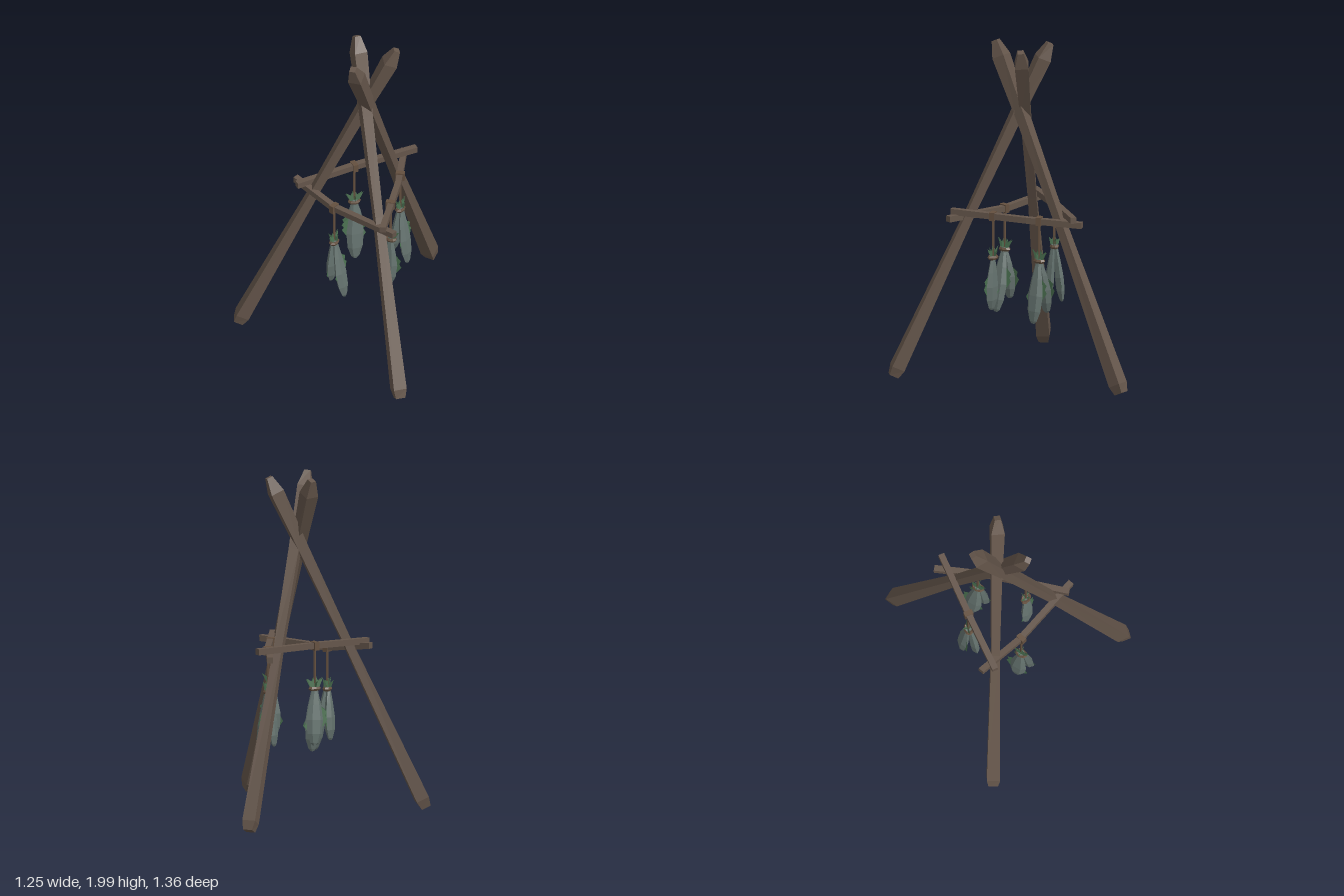
import * as THREE from 'three';

const wood = new THREE.MeshStandardMaterial({ color: 0x64554a });
wood.name = 'weathered wood';
const cord = new THREE.MeshStandardMaterial({ color: 0x64503f });
cord.name = 'cord brown';
const skin = new THREE.MeshStandardMaterial({ color: 0x65736f });
skin.name = 'grey green skin';
const finGreen = new THREE.MeshStandardMaterial({ color: 0x4a7050, side: THREE.DoubleSide });
finGreen.name = 'fin green';

const V = (x, y, z) => new THREE.Vector3(x, y, z);

function add(parent, name, geometry, material) {
  const flat = geometry.index ? geometry.toNonIndexed() : geometry;
  flat.computeVertexNormals();
  const mesh = new THREE.Mesh(flat, material);
  mesh.name = name;
  parent.add(mesh);
  return mesh;
}

// Faceted skin over a series of rings, closed at both ends
function loft(rings) {
  const out = [];
  const tri = (...pts) => pts.forEach((p) => out.push(p.x, p.y, p.z));
  const n = rings[0].length;
  for (let i = 0; i < rings.length - 1; i++) {
    for (let j = 0; j < n; j++) {
      const k = (j + 1) % n;
      const a = rings[i][j], b = rings[i][k], c = rings[i + 1][k], d = rings[i + 1][j];
      tri(a, b, c);
      tri(a, c, d);
    }
  }
  const first = rings[0], last = rings[rings.length - 1];
  for (let j = 1; j < n - 1; j++) {
    tri(first[0], first[j + 1], first[j]);
    tri(last[0], last[j], last[j + 1]);
  }
  const g = new THREE.BufferGeometry();
  g.setAttribute('position', new THREE.Float32BufferAttribute(out, 3));
  return g;
}

function ring(center, u, v, ru, rv, sides, phase) {
  return Array.from({ length: sides }, (_, j) => {
    const a = phase + (j / sides) * Math.PI * 2;
    return center.clone().addScaledVector(u, Math.cos(a) * ru).addScaledVector(v, Math.sin(a) * rv);
  });
}

// Square timber along a path; stations are [position, half width]
function timber(stations, twist = 0) {
  const dir = stations[stations.length - 1][0].clone().sub(stations[0][0]).normalize();
  const u = V(0, 1, 0).cross(dir).normalize();
  const v = dir.clone().cross(u);
  return loft(stations.map(([p, r], i) =>
    ring(p, u, v, r * Math.SQRT2, r * Math.SQRT2, 4, Math.PI / 4 + twist * i)));
}

function outline(points) {
  return new THREE.ShapeGeometry(new THREE.Shape(points.map(([x, y]) => new THREE.Vector2(x, y))));
}

// Flattened body hanging from its tail, origin at the binding
function createFish(length, finSide) {
  const fish = new THREE.Group();
  fish.name = 'hangingFish';
  const profile = [[-0.03, 0.018, 0.012], [0.06, 0.02, 0.013], [0.28, 0.038, 0.02],
    [0.55, 0.053, 0.027], [0.8, 0.046, 0.025], [0.96, 0.026, 0.013], [1, 0.012, 0.007]];
  add(fish, 'fishBody', loft(profile.map(([t, w, d]) =>
    ring(V(0, -t * length, 0), V(1, 0, 0), V(0, 0, 1), w, d, 6, 0))), skin);

  // Jagged tail, with a narrower one crossing it
  const tail = [[-0.018, -0.01], [-0.05, 0.065], [-0.02, 0.042], [0, 0.08],
    [0.02, 0.04], [0.055, 0.06], [0.018, -0.01]];
  add(fish, 'tailFin', outline(tail), finGreen);
  const cross = add(fish, 'crossTailFin', outline(tail), finGreen);
  cross.rotation.y = Math.PI / 2;
  cross.scale.set(0.6, 0.85, 1);

  // Large fin on one edge, small one on the other
  const s = finSide;
  add(fish, 'backFin', outline([[s * 0.03, -0.1], [s * 0.075, -0.135], [s * 0.065, -0.16],
    [s * 0.08, -0.18], [s * 0.045, -0.235]]), finGreen);
  add(fish, 'bellyFin', outline([[-s * 0.04, -0.17], [-s * 0.066, -0.22], [-s * 0.045, -0.25]]), finGreen);
  return fish;
}

export function createModel() {
  const model = new THREE.Group();
  model.name = 'dryingRack';

  // Three leaning poles, thick at the ends and slim in the middle
  const poles = [
    ['rightPole', V(-0.585, 0.012, 0.43), V(0.225, 1.985, -0.01)],
    ['leftPole', V(0.59, 0.012, 0.64), V(-0.045, 1.985, -0.02)],
    ['backPole', V(0.11, 0.012, -0.655), V(0.088, 1.985, 0.275)],
  ];
  for (const [name, a, b] of poles) {
    const at = (t) => a.clone().lerp(b, t);
    add(model, name, timber([[at(0), 0.028], [at(0.025), 0.039], [at(0.5), 0.025],
      [at(0.78), 0.031], [at(0.955), 0.04], [at(1), 0.018]], 0.04), wood);
  }

  // Slightly bent crossbars
  const bars = [
    ['frontCrossbar', V(-0.33, 0.99, 0.2), V(-0.03, 0.945, 0.29), V(0.415, 0.96, 0.375)],
    ['rightCrossbar', V(-0.285, 1.005, 0.27), V(-0.065, 1.015, -0.04), V(0.17, 1.015, -0.355)],
    ['leftCrossbar', V(0.09, 0.97, -0.355), V(0.215, 0.98, -0.05), V(0.35, 0.99, 0.4)],
  ];
  for (const [name, a, b, c] of bars) {
    add(model, name, timber([[a, 0.018], [b, 0.018], [c, 0.018]]), wood);
  }

  // Hanging bundles: position, bar height, binding height, bar heading,
  // facing, fin side, and [length, tilt] of each fish
  const bundles = [
    { x: -0.068, z: -0.035, top: 1.012, tie: 0.76, bar: 0.94, yaw: Math.PI / 4, fin: -1,
      fish: [[0.38, -0.1], [0.33, 0.1]] },
    { x: -0.025, z: 0.295, top: 0.945, tie: 0.7, bar: -0.25, yaw: Math.PI / 2, fin: 1,
      fish: [[0.37, -0.18], [0.3, 0.06]] },
    { x: 0.19, z: -0.12, top: 0.98, tie: 0.74, bar: -1.19, yaw: Math.PI / 2, fin: 1,
      fish: [[0.37, -0.12], [0.32, 0.12]] },
    { x: 0.272, z: 0.155, top: 0.983, tie: 0.735, bar: -1.28, yaw: 0, fin: 1,
      fish: [[0.32, -0.05]] },
  ];
  for (const b of bundles) {
    const bundle = new THREE.Group();
    bundle.name = 'hangingBundle';
    bundle.position.set(b.x, b.tie, b.z);
    model.add(bundle);

    const drop = b.top - b.tie;
    const knot = add(bundle, 'barLoop', new THREE.BoxGeometry(0.03, 0.05, 0.052), cord);
    knot.position.y = drop;
    knot.rotation.y = b.bar;
    const rope = add(bundle, 'rope', new THREE.CylinderGeometry(0.008, 0.008, drop, 5), cord);
    rope.position.y = drop / 2;

    const bound = new THREE.Group();
    bound.name = 'boundFish';
    bound.rotation.y = b.yaw;
    bundle.add(bound);
    const binding = add(bound, 'binding', new THREE.TorusGeometry(0.028, 0.012, 5, 8), cord);
    binding.rotation.x = Math.PI / 2;
    binding.scale.y = 0.7;
    b.fish.forEach(([length, tilt], i) => {
      const fish = createFish(length, b.fin);
      fish.rotation.x = tilt;
      fish.position.z = b.fish.length > 1 ? -Math.sign(tilt) * 0.008 : 0;
      fish.rotation.z = i ? 0.06 : -0.02;
      bound.add(fish);
    });
  }
  return model;
}
